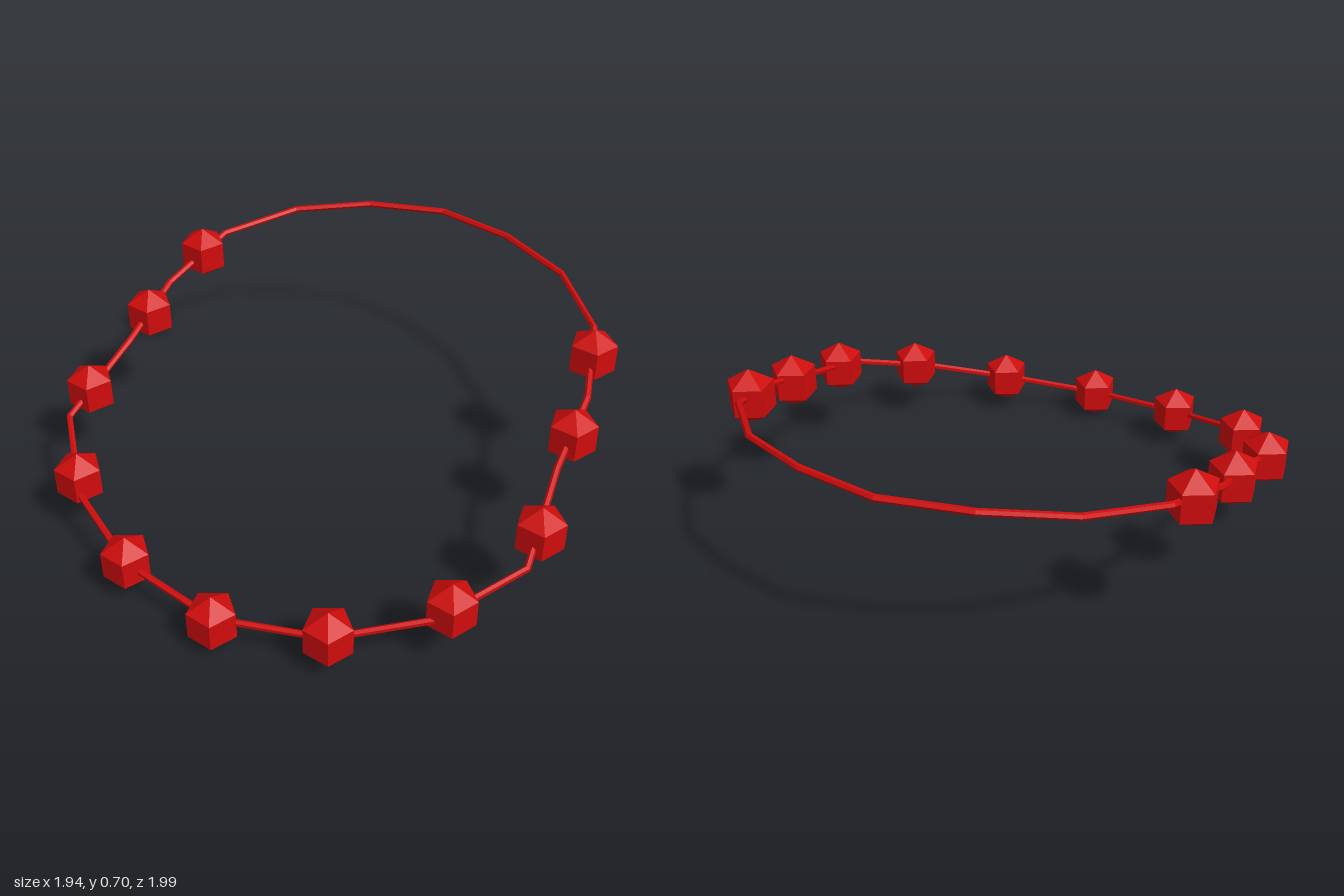
import * as THREE from 'three';

// Closed angular path: straight runs between points, mitred at each corner
class CordPath extends THREE.Curve {
  constructor(points) {
    super();
    this.points = points;
  }
  getPoint(t, target = new THREE.Vector3()) {
    const n = this.points.length;
    const f = t * n;
    const i = Math.floor(f);
    return target.lerpVectors(this.points[i % n], this.points[(i + 1) % n], f - i);
  }
  getPointAt(u, target) {
    return this.getPoint(u, target);
  }
  getTangentAt(u, target = new THREE.Vector3()) {
    const n = this.points.length;
    const i = Math.round(u * n) % n;
    const p = this.points[i];
    const before = p.clone().sub(this.points[(i + n - 1) % n]).normalize();
    const after = this.points[(i + 1) % n].clone().sub(p).normalize();
    return target.copy(before).add(after).normalize();
  }
}

export function createModel() {
  const necklace = new THREE.Group();
  necklace.name = 'necklace';
  const red = new THREE.MeshStandardMaterial({ color: 0xcf0c0c, flatShading: true });
  red.name = 'red';

  // Cord: one side from back to front, mirrored to close the loop
  const side = [
    [0.3, 0.685, -0.925], [0.575, 0.66, -0.79], [0.782, 0.615, -0.555],
    [0.863, 0.525, -0.25], [0.863, 0.43, 0.05], [0.9, 0.3, 0.42],
    [0.69, 0.205, 0.675], [0.385, 0.135, 0.84],
  ];
  const points = [
    [0, 0.692, -0.988],
    ...side,
    [0, 0.108, 0.91],
    ...side.map(([x, y, z]) => [-x, y, z]).reverse(),
  ].map((p) => new THREE.Vector3(...p));
  const cord = new THREE.Mesh(
    new THREE.TubeGeometry(new CordPath(points), points.length, 0.0125, 6, true), red);
  cord.name = 'cord';
  necklace.add(cord);

  // Beads: five-sided, pointed above and below, all turned the same way
  const beadGeometry = new THREE.SphereGeometry(0.105, 5, 3);
  beadGeometry.scale(0.84, 1, 0.84 * 1.0);
  beadGeometry.scale(1.13, 1, 1.13);
  beadGeometry.rotateY(THREE.MathUtils.degToRad(-100));
  const addBead = (x, y, z) => {
    const bead = new THREE.Mesh(beadGeometry, red);
    bead.name = 'bead';
    bead.position.set(x, y, z);
    necklace.add(bead);
  };
  addBead(0, 0.108, 0.914);
  for (const [x, y, z] of [
    [0.387, 0.14, 0.832], [0.722, 0.226, 0.62], [0.891, 0.345, 0.283],
    [0.862, 0.47, -0.1], [0.815, 0.58, -0.437],
  ]) {
    addBead(x, y, z);
    addBead(-x, y, z);
  }
  return necklace;
}
